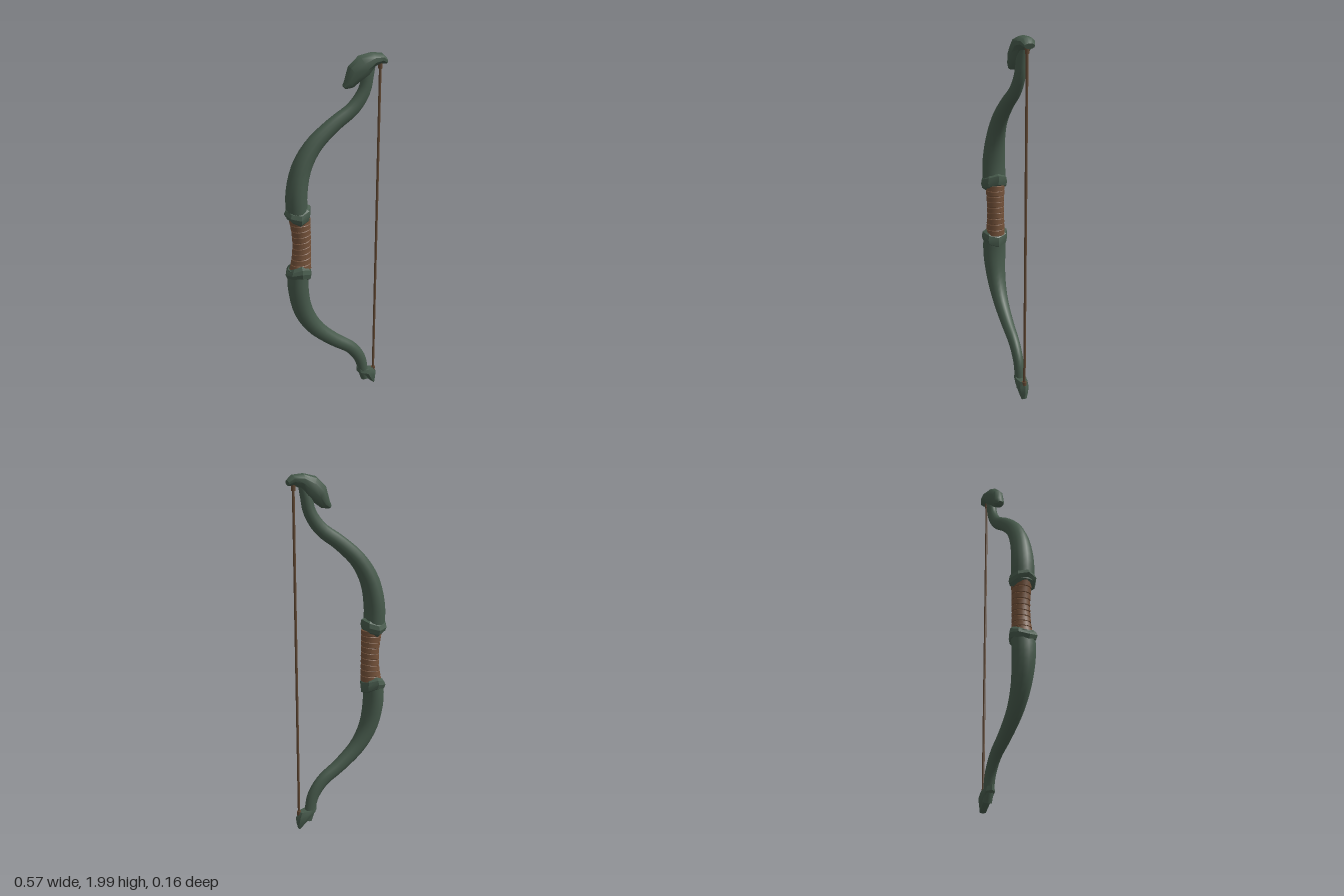
import * as THREE from 'three';
import { toCreasedNormals } from 'three/addons/utils/BufferGeometryUtils.js';

const material = (name, color) => {
  const m = new THREE.MeshStandardMaterial({ color });
  m.name = name;
  return m;
};

// Closed skin over cross-sections [ax, ay, bx, by, halfDepth, dip];
// a and b are opposite edges in the xy plane, dip lowers the z sides.
function loft(sections, sides, crease) {
  const pos = [], index = [];
  let turn = 0;
  for (let i = 1; i < sections.length; i++) {
    const [ax, ay, bx, by] = sections[i], p = sections[i - 1];
    const dx = ax + bx - p[0] - p[2], dy = ay + by - p[1] - p[3];
    turn += (by - ay) * dx - (bx - ax) * dy;
  }
  const sign = turn < 0 ? -1 : 1;
  for (const [ax, ay, bx, by, depth, dip = 0] of sections) {
    for (let j = 0; j < sides; j++) {
      const t = (j / sides) * Math.PI * 2, c = Math.cos(t), s = Math.sin(t);
      pos.push((ax + bx) / 2 + (c * (bx - ax)) / 2,
        (ay + by) / 2 + (c * (by - ay)) / 2 + dip * s * s, sign * s * depth);
    }
  }
  const n = sections.length;
  for (let i = 0; i < n - 1; i++) {
    for (let j = 0; j < sides; j++) {
      const a = i * sides + j, b = i * sides + ((j + 1) % sides);
      index.push(a, b, b + sides, a, b + sides, a + sides);
    }
  }
  // End caps
  for (const [i, flip] of [[0, true], [n - 1, false]]) {
    const [ax, ay, bx, by, , dip = 0] = sections[i], centre = pos.length / 3;
    pos.push((ax + bx) / 2, (ay + by) / 2 + dip / 2, 0);
    for (let j = 0; j < sides; j++) {
      const a = i * sides + j, b = i * sides + ((j + 1) % sides);
      index.push(centre, flip ? b : a, flip ? a : b);
    }
  }
  const g = new THREE.BufferGeometry();
  g.setAttribute('position', new THREE.Float32BufferAttribute(pos, 3));
  g.setIndex(index);
  return toCreasedNormals(g, crease);
}

// Curved limb: centre x, y, half width, half depth
const LIMB = [
  [-0.212, 1.15, 0.058, 0.066], [-0.214, 1.28, 0.058, 0.066],
  [-0.185, 1.42, 0.054, 0.055], [-0.115, 1.54, 0.047, 0.044],
  [-0.005, 1.64, 0.041, 0.036], [0.1, 1.715, 0.038, 0.031],
  [0.162, 1.8, 0.035, 0.029], [0.185, 1.89, 0.031, 0.028], [0.2, 1.95, 0.026, 0.024],
];
function limbSections() {
  const path = new THREE.CatmullRomCurve3(LIMB.map(p => new THREE.Vector3(p[0], p[1], 0)), false, 'catmullrom');
  const size = new THREE.CatmullRomCurve3(LIMB.map(p => new THREE.Vector3(p[2], p[3], 0)), false, 'catmullrom');
  return Array.from({ length: 29 }, (_, i) => {
    const p = path.getPoint(i / 28), d = path.getTangent(i / 28), r = size.getPoint(i / 28);
    return [p.x - d.y * r.x, p.y + d.x * r.x, p.x + d.y * r.x, p.y - d.x * r.x, r.y];
  });
}

// Angular collar that dips on its front and back
const COLLAR = [
  [-0.262, 1.15, -0.155, 1.145, 0.055, -0.03],
  [-0.277, 1.165, -0.141, 1.16, 0.074, -0.03],
  [-0.286, 1.18, -0.135, 1.185, 0.08, -0.026],
  [-0.277, 1.2, -0.138, 1.212, 0.073, -0.024],
  [-0.262, 1.206, -0.155, 1.22, 0.06, -0.022],
];

// Mirror sections from the upper half to the lower half
const mirror = sections => sections.map(([ax, ay, bx, by, z, dip = 0]) => [ax, 2 - ay, bx, 2 - by, z, -dip]);

// Leather grip: slightly slanted overlapping bands, waisted in the middle
function gripSections() {
  const out = [], bands = 9, y0 = 0.85, step = 0.3 / bands;
  for (let i = 0; i < bands; i++) {
    for (const [f, grow] of [[0.02, 0], [0.1, 0.004], [0.9, 0.003], [0.98, 0]]) {
      const y = y0 + (i + f) * step, flare = ((y - 1) / 0.15) ** 2;
      const slant = 0.008 * (1 - flare);
      out.push([-0.238 - 0.02 * flare - grow, y - slant, -0.142 + grow, y + slant, 0.046 + 0.006 * flare + grow]);
    }
  }
  return out;
}

export function createModel() {
  const green = material('dark green wood', 0x46594b);
  const leather = material('brown leather', 0x735139);
  const cord = material('brown cord', 0x614833);
  const bow = new THREE.Group();
  bow.name = 'bow';
  const add = (name, geometry, mat) => {
    const m = new THREE.Mesh(geometry, mat);
    m.name = name;
    bow.add(m);
    return m;
  };

  // Limbs and collars
  const limb = limbSections();
  add('upperLimb', loft(limb, 14, 0.9), green);
  add('lowerLimb', loft(mirror(limb), 14, 0.9), green);
  add('upperCollar', loft(COLLAR, 8, 0.4), green);
  add('lowerCollar', loft(mirror(COLLAR), 8, 0.4), green);

  add('grip', loft(gripSections(), 14, 0.6), leather);

  // Hooked upper tip, from the beak back to the string notch
  add('upperTip', loft([
    [0.046, 1.838, 0.062, 1.82, 0.02],
    [0.058, 1.87, 0.1, 1.825, 0.034],
    [0.075, 1.935, 0.14, 1.852, 0.042],
    [0.13, 1.985, 0.185, 1.88, 0.05],
    [0.2, 2.0, 0.215, 1.925, 0.05],
    [0.26, 1.993, 0.25, 1.94, 0.04],
    [0.287, 1.965, 0.278, 1.937, 0.028],
  ], 10, 0.7), green);

  // Pointed lower tip
  add('lowerTip', loft([
    [0.142, 0.138, 0.256, 0.112, 0.03, -0.01],
    [0.143, 0.108, 0.272, 0.075, 0.037],
    [0.195, 0.055, 0.268, 0.04, 0.028],
    [0.245, 0.014, 0.259, 0.006, 0.018],
  ], 8, 0.6), green);

  // String with a small knot at each end
  const string = add('string', new THREE.CylinderGeometry(0.0075, 0.0075, 1.86, 8), cord);
  string.position.set(0.252, 1.015, 0);
  for (const [name, y] of [['upperKnot', 1.928], ['lowerKnot', 0.1]]) {
    const knot = add(name, new THREE.CylinderGeometry(0.013, 0.011, 0.03, 8), cord);
    knot.position.set(0.252, y, 0);
  }
  return bow;
}
